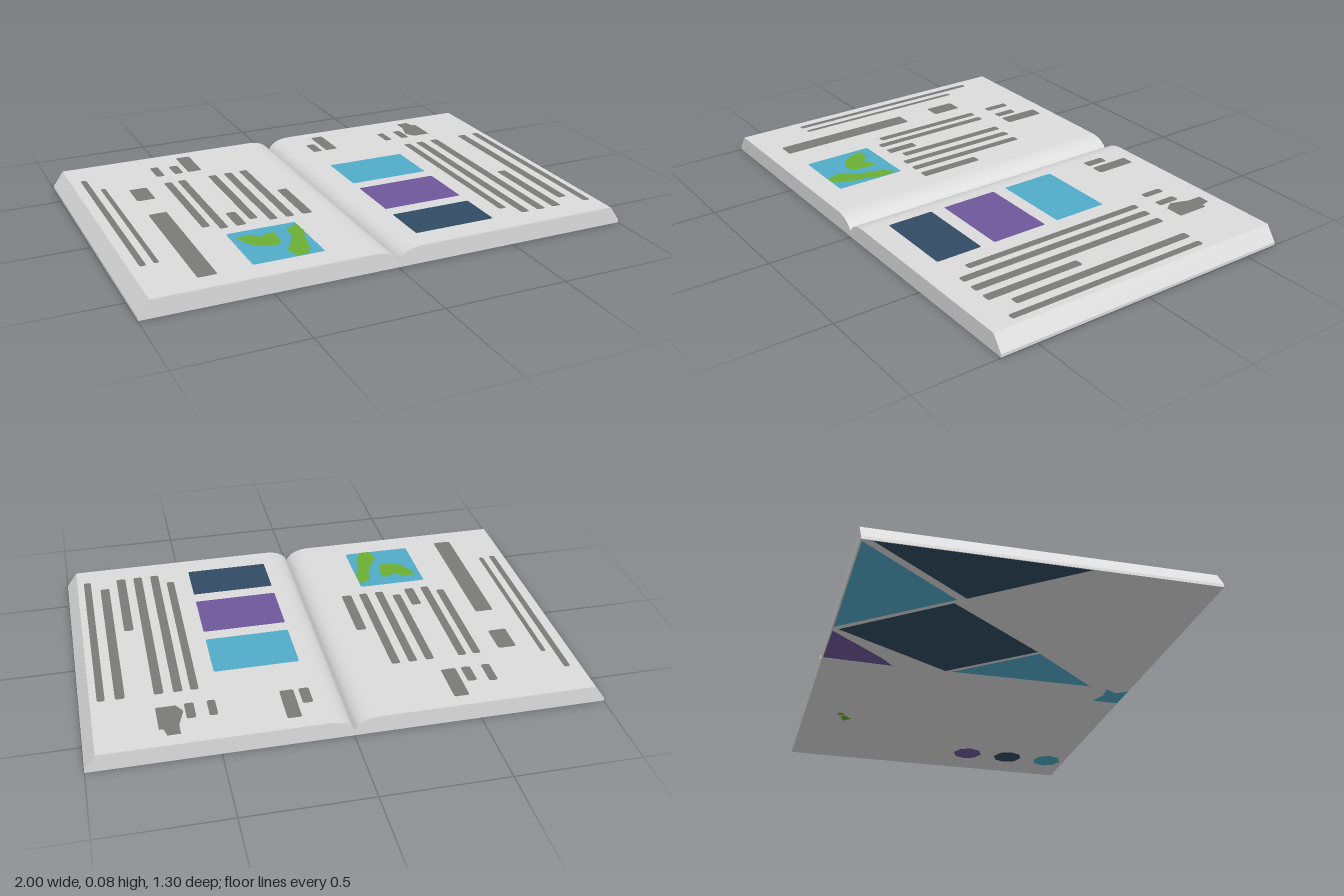
import * as THREE from 'three';
import { toCreasedNormals } from 'three/addons/utils/BufferGeometryUtils.js';

const TOP = 0.075, FLOOR = 0.002, LIFT = 0.002;

function material(name, color) {
  const m = new THREE.MeshStandardMaterial({ color });
  m.name = name;
  return m;
}

// Rectangle with rounded corners, given in x and z
function bar(x0, x1, z0, z1, r = 0.009) {
  const s = new THREE.Shape();
  s.absarc(x1 - r, z1 - r, r, 0, Math.PI / 2);
  s.absarc(x0 + r, z1 - r, r, Math.PI / 2, Math.PI);
  s.absarc(x0 + r, z0 + r, r, Math.PI, Math.PI * 1.5);
  s.absarc(x1 - r, z0 + r, r, Math.PI * 1.5, Math.PI * 2);
  return s;
}

const polygon = (pts) => new THREE.Shape(pts.map(([x, z]) => new THREE.Vector2(x, z)));

function disc(x, z, r) {
  const s = new THREE.Shape();
  s.absarc(x, z, r, 0, Math.PI * 2);
  return s;
}

export function createModel() {
  const book = new THREE.Group();
  book.name = 'openBook';
  const paper = material('paper grey', 0xdcdcdc);
  const ink = material('ink grey', 0x7b7b79);
  const teal = material('teal', 0x51acca);
  const purple = material('purple', 0x6f579b);
  const navy = material('navy', 0x314c64);
  const green = material('land green', 0x6daf35);

  const add = (name, geometry, mat) => {
    const mesh = new THREE.Mesh(geometry, mat);
    mesh.name = name;
    book.add(mesh);
  };

  // Printed faces: on the pages they look up, on the cover they look down
  const printOnPage = (name, mat, shapes, y = TOP + LIFT) => {
    const g = new THREE.ShapeGeometry(shapes, 4);
    g.rotateX(Math.PI / 2);
    const index = g.index.array;
    for (let i = 0; i < index.length; i += 3) [index[i], index[i + 1]] = [index[i + 1], index[i]];
    g.computeVertexNormals();
    g.translate(0, y, 0);
    add(name, g, mat);
  };
  const printOnCover = (name, mat, shapes) => {
    const g = new THREE.ShapeGeometry(shapes, 4);
    g.rotateX(Math.PI / 2);
    add(name, g, mat);
  };

  // Page block: open-book section with bevelled outer edges and a rounded gutter
  const section = new THREE.Shape();
  section.moveTo(-1, FLOOR);
  section.lineTo(1, FLOOR);
  section.lineTo(1, 0.014);
  section.lineTo(0.956, TOP);
  section.lineTo(0.1, TOP);
  section.bezierCurveTo(0.05, TOP, 0.012, 0.058, 0, 0.025);
  section.bezierCurveTo(-0.012, 0.058, -0.05, TOP, -0.1, TOP);
  section.lineTo(-0.956, TOP);
  section.lineTo(-1, 0.014);
  const block = new THREE.ExtrudeGeometry(section, { depth: 1.3, bevelEnabled: false, curveSegments: 10 });
  block.translate(0, 0, -0.65);
  add('pageBlock', toCreasedNormals(block, 0.55), paper);

  // Text columns, as plain bars: x0, x1, z0, z1
  const leftText = [
    [-0.915, -0.89, -0.5, 0.395], [-0.86, -0.84, -0.38, 0.39],
    [-0.755, -0.68, -0.32, -0.19], [-0.755, -0.68, -0.04, 0.565],
    [-0.6, -0.567, -0.335, 0.165], [-0.54, -0.506, -0.335, 0.203],
    [-0.473, -0.432, 0.07, 0.203], [-0.405, -0.37, -0.335, 0.165],
    [-0.335, -0.3, -0.335, 0.203], [-0.265, -0.23, -0.335, 0.203],
    [-0.195, -0.153, -0.07, 0.203],
  ];
  const rightText = [
    [0.54, 0.572, -0.335, 0.482], [0.602, 0.638, -0.335, 0.55],
    [0.675, 0.712, -0.335, 0.55], [0.747, 0.786, 0.13, 0.55],
    [0.822, 0.86, -0.335, 0.482], [0.898, 0.928, -0.335, 0.55],
  ];
  printOnPage('leftPageText', ink, leftText.map((b) => bar(...b)));
  printOnPage('rightPageText', ink, rightText.map((b) => bar(...b)));

  // Headings, as rough blocks
  const leftHeading = [
    [-0.605, -0.57, -0.525, -0.415], [-0.525, -0.487, -0.51, -0.415],
    [-0.465, -0.405, -0.595, -0.415],
  ];
  const rightHeading = [
    [0.127, 0.167, -0.51, -0.415], [0.187, 0.242, -0.59, -0.415],
    [0.49, 0.522, -0.51, -0.415], [0.572, 0.608, -0.51, -0.415],
  ];
  printOnPage('leftPageHeading', ink, leftHeading.map((b) => bar(...b)));
  printOnPage('rightPageHeading', ink, [
    ...rightHeading.map((b) => bar(...b)),
    polygon([[0.64, -0.595], [0.69, -0.595], [0.7, -0.555], [0.717, -0.555], [0.717, -0.42],
      [0.64, -0.42], [0.615, -0.46], [0.64, -0.54]]),
  ]);

  // Pictures
  printOnPage('mapSea', teal, bar(-0.54, -0.255, 0.26, 0.55));
  printOnPage('mapLand', green, [
    polygon([[-0.52, 0.31], [-0.455, 0.31], [-0.43, 0.34], [-0.395, 0.32], [-0.365, 0.32],
      [-0.375, 0.42], [-0.41, 0.435], [-0.475, 0.405], [-0.5, 0.365]]),
    polygon([[-0.31, 0.31], [-0.258, 0.285], [-0.255, 0.35], [-0.275, 0.41], [-0.295, 0.5],
      [-0.32, 0.548], [-0.365, 0.548], [-0.38, 0.49], [-0.335, 0.415], [-0.315, 0.365]]),
  ], TOP + LIFT * 2);
  printOnPage('upperPicture', teal, bar(0.125, 0.467, -0.235, -0.003, 0.006));
  printOnPage('middlePicture', purple, bar(0.125, 0.467, 0.055, 0.295, 0.006));
  printOnPage('lowerPicture', navy, bar(0.125, 0.467, 0.355, 0.55, 0.006));

  // Cover panels on the underside, parted by crossing diagonal gaps
  printOnCover('coverNavyPanels', navy, [
    polygon([[-0.075, -0.147], [-0.337, -0.625], [-0.648, -0.248], [-0.338, 0.165]]),
    polygon([[-0.692, -0.212], [-1, -0.61], [-1, 0.16]]),
  ]);
  printOnCover('coverTealPanels', teal, [
    polygon([[-0.352, -0.645], [-0.99, -0.645], [-0.675, -0.245]]),
    polygon([[-0.075, -0.12], [-0.325, 0.178], [-0.08, 0.475]]),
  ]);
  printOnCover('coverPurplePanel', purple, polygon([[-0.07, -0.365], [-0.08, -0.648], [-0.32, -0.645], [-0.13, -0.42]]));

  // Spine patch and row of dots on the cover
  printOnCover('spinePatch', teal, polygon([[0.058, 0.535], [0.058, 0.648], [-0.07, 0.648],
    [-0.04, 0.605], [-0.072, 0.55], [-0.01, 0.56]]));
  [purple, navy, teal].forEach((mat, i) =>
    printOnCover('coverDot' + (i + 1), mat, disc(0.803, 0.167 + i * 0.198, 0.066)));
  printOnCover('coverLeaf', green, [
    polygon([[0.55, -0.47], [0.52, -0.44], [0.485, -0.475], [0.505, -0.49]]),
    polygon([[0.485, -0.51], [0.46, -0.5], [0.47, -0.475], [0.49, -0.485]]),
  ]);

  return book;
}
